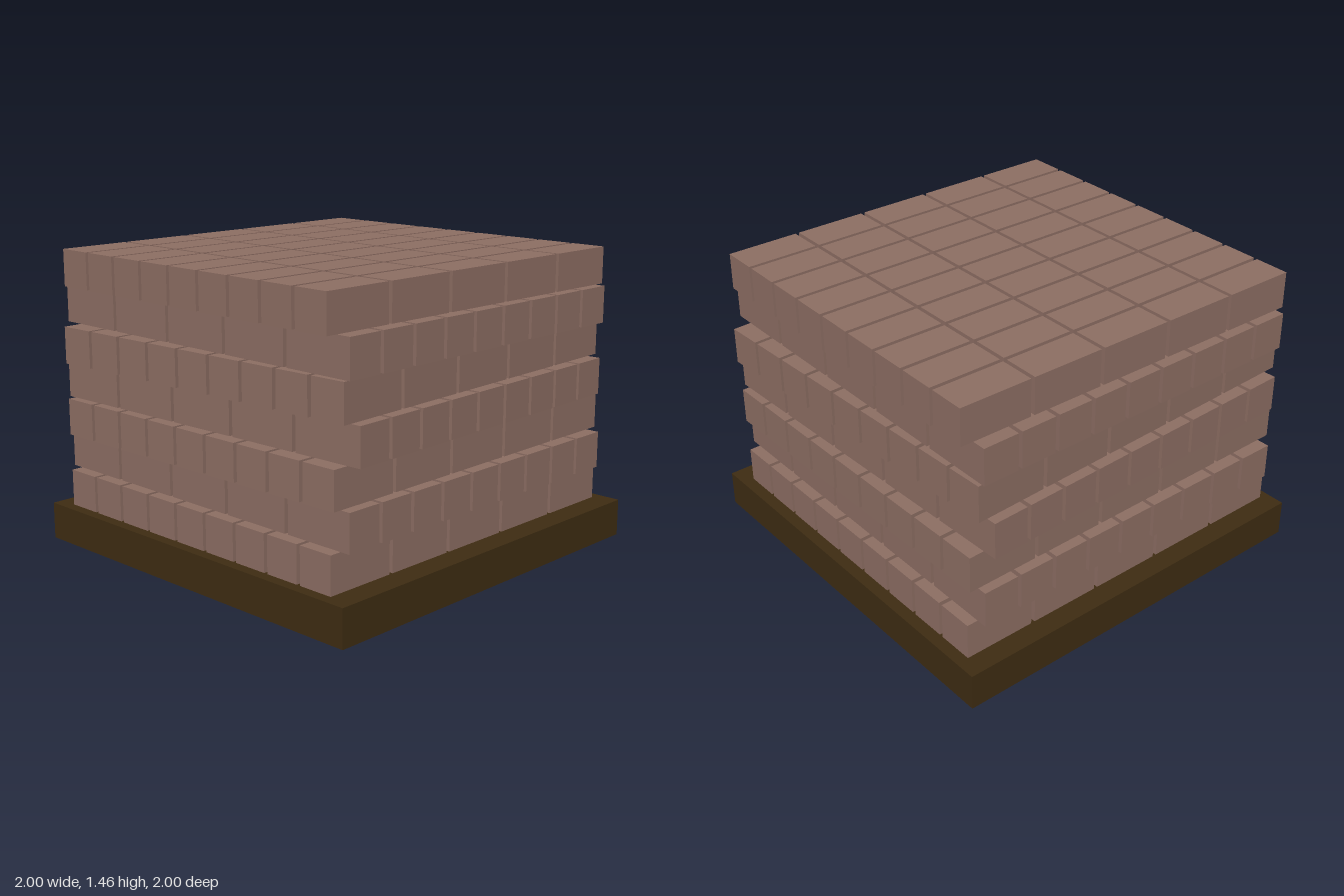
import * as THREE from 'three';

const BRICK_LENGTH = 0.362, BRICK_WIDTH = 0.18, BRICK_HEIGHT = 0.18;
const PITCH_LONG = 0.382, PITCH_SHORT = 0.2, LAYER_STEP = 0.182;
const BASE_HEIGHT = 0.182;

// One entry per course, bottom to top: bricks along x or z, and a slight twist
const LAYERS = [
  { along: 'x', twist: 0 },
  { along: 'z', twist: 0 },
  { along: 'x', twist: 0.011 },
  { along: 'z', twist: 0.033 },
  { along: 'x', twist: 0.042 },
  { along: 'z', twist: 0 },
  { along: 'x', twist: -0.012 },
];

export function createModel() {
  const model = new THREE.Group();
  model.name = 'brickPallet';

  const brickMaterial = new THREE.MeshStandardMaterial({ color: 0x8d6e63 });
  const baseMaterial = new THREE.MeshStandardMaterial({ color: 0x3e2c12 });

  // Square slab under the stack
  const base = new THREE.Mesh(new THREE.BoxGeometry(2, BASE_HEIGHT, 2), baseMaterial);
  base.name = 'palletBase';
  base.position.y = BASE_HEIGHT / 2;
  model.add(base);

  // Each course is a 5 x 9 grid of bricks, turned a quarter when laid along z
  const brickGeometry = new THREE.BoxGeometry(BRICK_LENGTH, BRICK_HEIGHT, BRICK_WIDTH);
  LAYERS.forEach(({ along, twist }, i) => {
    const layer = new THREE.Group();
    layer.name = `brickLayer${i + 1}`;
    layer.position.set(-0.005, BASE_HEIGHT + 0.002 + BRICK_HEIGHT / 2 + i * LAYER_STEP, -0.007);
    layer.rotation.y = twist + (along === 'z' ? Math.PI / 2 : 0);
    for (let column = -2; column <= 2; column++) {
      for (let row = -4; row <= 4; row++) {
        const brick = new THREE.Mesh(brickGeometry, brickMaterial);
        brick.name = 'brick';
        brick.position.set(column * PITCH_LONG, 0, row * PITCH_SHORT);
        layer.add(brick);
      }
    }
    model.add(layer);
  });

  return model;
}
